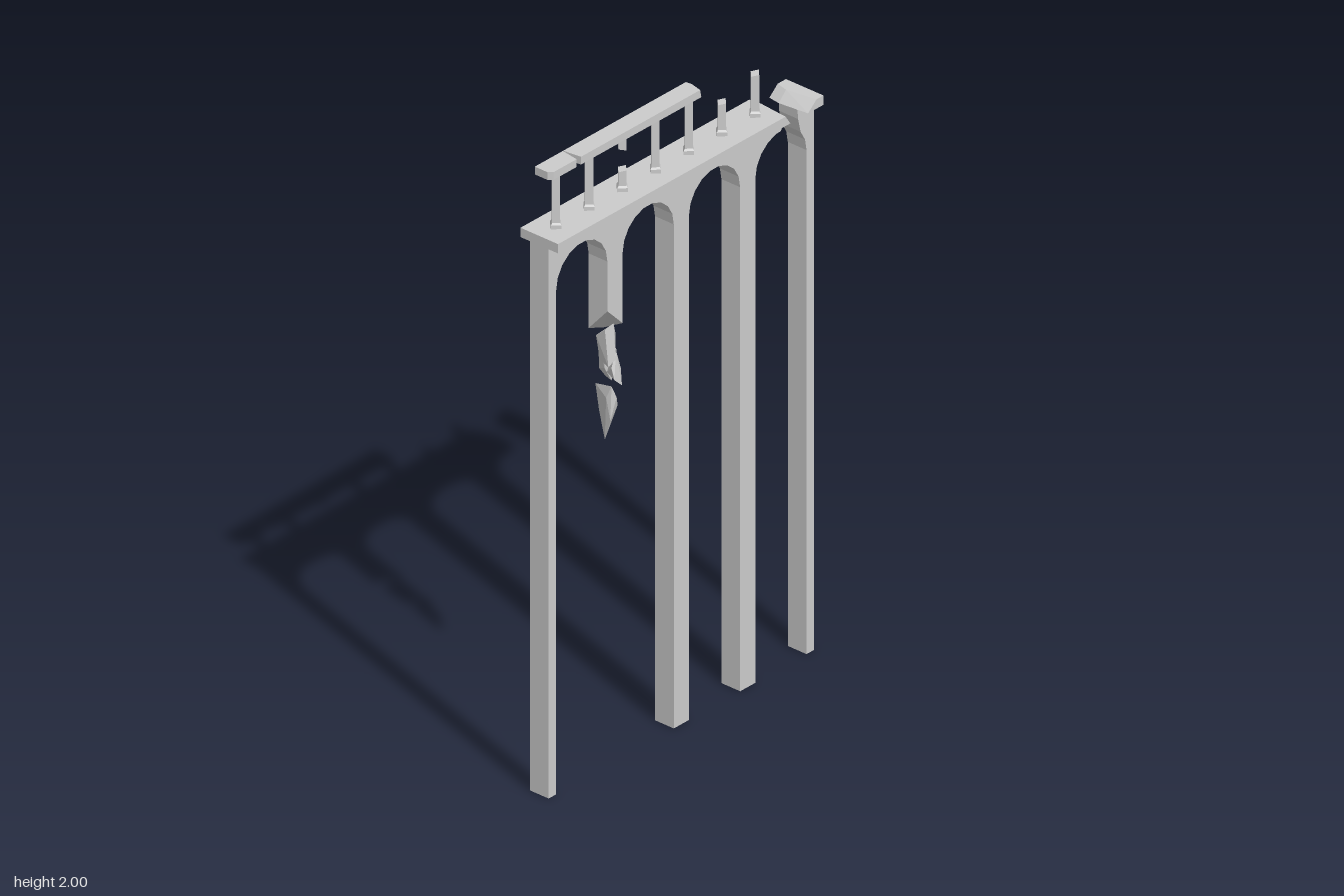
import * as THREE from 'three';
import { ConvexGeometry } from 'three/addons/geometries/ConvexGeometry.js';

const mat = new THREE.MeshStandardMaterial({ color: 0xcccccc, flatShading: true, side: THREE.DoubleSide });
const HALF_Z = 0.035, SPRING = 1.62, DECK_Y = 1.765, DECK_TOP = 1.795, R = 0.108;

export function createModel() {
  const group = new THREE.Group();
  const add = (name, geo, x = 0, y = 0, z = 0) => {
    const mesh = new THREE.Mesh(geo, mat);
    mesh.name = name;
    mesh.position.set(x, y, z);
    group.add(mesh);
    return mesh;
  };
  const hull = (name, pts) => add(name, new ConvexGeometry(pts.map(p => new THREE.Vector3(...p))));

  // Arch outline points, nine facets per half circle, from angle index a to b
  const arch = (cx, a, b) => {
    const pts = [];
    const step = a < b ? 1 : -1;
    for (let i = a; i !== b + step; i += step) {
      const t = i * Math.PI / 9;
      pts.push([cx + R * Math.cos(t), SPRING + R * Math.sin(t)]);
    }
    return pts;
  };

  // Wall slab with hollow, open feet at ground level
  const wall = (name, outline) => {
    const shape = new THREE.Shape(outline.map(p => new THREE.Vector2(...p)));
    const geo = new THREE.ExtrudeGeometry(shape, { depth: HALF_Z * 2, bevelEnabled: false });
    geo.translate(0, 0, -HALF_Z);
    const p = geo.attributes.position, kept = [];
    for (let i = 0; i < p.count; i += 3) {
      if (Math.max(p.getY(i), p.getY(i + 1), p.getY(i + 2)) < 1e-4) continue;
      for (let k = i; k < i + 3; k++) {
        const x = p.getX(k), z = p.getZ(k);
        let y = p.getY(k);
        // slanted break under the snapped pillar
        if (z < 0 && y > 1.3 && y < 1.5) y -= x < -0.28 ? 0.08 : 0.04;
        kept.push(x, y, z);
      }
    }
    const out = new THREE.BufferGeometry();
    out.setAttribute('position', new THREE.Float32BufferAttribute(kept, 3));
    out.computeVertexNormals();
    add(name, out);
  };

  wall('arcade', [
    [-0.56, 0], [-0.528, 0], ...arch(-0.42, 9, 0),
    [-0.312, 1.46], [-0.248, 1.395], ...arch(-0.14, 9, 0),
    [-0.032, 0], [0.032, 0], ...arch(0.14, 9, 0),
    [0.248, 0], [0.312, 0], ...arch(0.42, 9, 5),
    [0.42, 1.727], [0.437, DECK_Y], [-0.56, DECK_Y],
  ]);
  wall('endPillar', [
    [0.528, 0], [0.56, 0], [0.56, DECK_Y], [0.49, DECK_Y], [0.492, 1.735], ...arch(0.42, 2, 0),
  ]);

  // Deck with its broken edge, and the piece left on the end pillar
  const W = 0.07;
  hull('deck', [
    ...[-W, W].flatMap(z => [[-0.56, DECK_Y, z], [-0.56, DECK_TOP, z]]),
    [0.405, DECK_TOP, -W], [0.40, DECK_TOP, W], [0.41, DECK_TOP, -0.03],
    [0.42, DECK_Y, -W], [0.42, DECK_Y, W], [0.44, DECK_Y, -0.02],
  ]);
  hull('endDeck', [
    ...[-W, W].flatMap(z => [[0.56, DECK_Y, z], [0.56, DECK_TOP, z]]),
    [0.525, DECK_TOP, -W], [0.515, DECK_TOP, -0.03], [0.53, DECK_TOP, W],
    [0.49, DECK_Y, -W], [0.484, DECK_Y, -0.03], [0.495, DECK_Y, W],
  ]);

  // Four-sided post; slant lifts one side of its top for a broken end
  const shaft = (name, x, y0, y1, slant = 0, slantBottom = false) => {
    const geo = new THREE.CylinderGeometry(0.016, 0.016, y1 - y0, 4);
    const p = geo.attributes.position;
    for (let i = 0; i < p.count; i++) {
      if ((p.getY(i) > 0) !== slantBottom) p.setY(i, p.getY(i) + slant * p.getX(i) / 0.016);
    }
    geo.computeVertexNormals();
    add(name, geo, x, (y0 + y1) / 2);
  };
  const tops = [1.975, 1.975, 1.862, 1.975, 1.975, 1.898, 1.93];
  tops.forEach((top, i) => {
    const x = -0.49 + 0.14 * i, whole = top > 1.95;
    add('balusterFoot', new THREE.CylinderGeometry(0.021, 0.021, 0.012, 4), x, DECK_TOP + 0.006);
    add('balusterCollar', new THREE.CylinderGeometry(0.016, 0.021, 0.006, 4), x, DECK_TOP + 0.015);
    shaft('baluster', x, DECK_TOP + 0.012, top, whole ? 0 : 0.005);
    if (whole || i === 2) add('balusterCap', new THREE.CylinderGeometry(0.02, 0.016, 0.008, 4), x, 1.971);
  });
  shaft('hangingBaluster', -0.21, 1.926, 1.975, -0.004, true);

  // Handrail in two pieces with a wedge-shaped crack
  const B = 1.975, T = 2, H = 0.03;
  hull('shortRail', [B, T].flatMap(y => [
    [-0.545, y, -H], [-0.545, y, 0.018], [-0.533, y, H], [-0.436, y, H], [-0.427, y, -H],
  ]));
  hull('longRail', [
    ...[B, T].flatMap(y => [[-0.425, y, -H], [-0.418, y, H]]),
    [0.092, T, -H], [0.095, T, -0.01], [0.085, T, H],
    [0.098, B, -H], [0.102, B, -0.01], [0.09, B, H],
  ]);

  // Rubble falling from the snapped pillar
  hull('rubbleUpper', [
    [-0.317, 1.40, 0.03], [-0.285, 1.41, 0.034], [-0.256, 1.36, 0.015], [-0.275, 1.285, 0.03],
    [-0.317, 1.285, 0.043], [-0.29, 1.30, 0.046], [-0.315, 1.37, -0.005], [-0.305, 1.29, 0.0],
    [-0.275, 1.37, -0.005],
  ]);
  hull('rubbleRight', [
    [-0.275, 1.33, -0.01], [-0.243, 1.325, -0.03], [-0.245, 1.30, 0.01], [-0.24, 1.195, -0.035],
    [-0.255, 1.2, 0.0], [-0.265, 1.23, -0.037], [-0.27, 1.32, -0.037], [-0.28, 1.25, -0.005],
  ]);
  hull('rubbleMiddle', [
    [-0.27, 1.315, 0.03], [-0.295, 1.27, 0.035], [-0.295, 1.235, 0.046], [-0.262, 1.205, 0.045],
    [-0.25, 1.25, 0.03], [-0.28, 1.24, 0.005], [-0.26, 1.29, 0.008],
  ]);
  hull('rubbleLower', [
    [-0.306, 1.22, 0.045], [-0.312, 1.18, 0.03], [-0.264, 1.17, 0.015], [-0.269, 1.14, 0.035],
    [-0.306, 1.04, 0.02], [-0.31, 1.11, 0.044], [-0.295, 1.20, -0.025], [-0.285, 1.11, -0.02],
    [-0.29, 1.18, 0.05],
  ]);

  return group;
}
